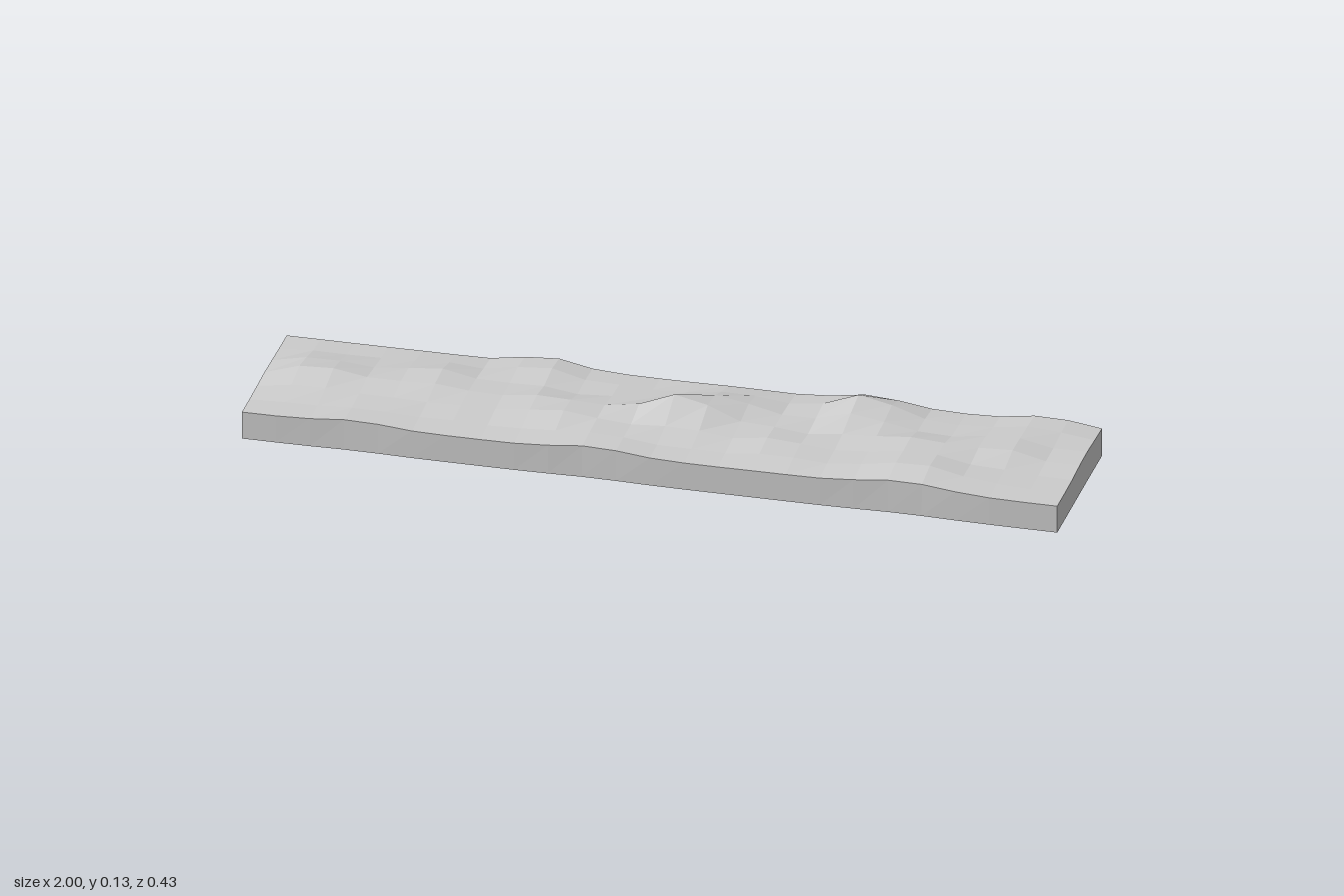
import * as THREE from 'three';

// Bumps on the stone surface: x, z, height, radius in x, radius in z
const BUMPS = [
  [-0.87, 0.0, 0.028, 0.09, 0.09], [-0.72, 0.2, 0.011, 0.1, 0.06],
  [-0.62, -0.04, 0.024, 0.09, 0.09], [-0.36, -0.16, 0.027, 0.09, 0.08],
  [-0.25, 0.05, 0.022, 0.09, 0.07], [-0.14, 0.19, 0.016, 0.11, 0.06],
  [0.0, 0.01, 0.047, 0.1, 0.06], [0.12, -0.08, 0.032, 0.09, 0.07],
  [0.44, -0.13, 0.042, 0.1, 0.08], [0.62, 0.16, 0.026, 0.13, 0.08],
  [0.6, 0.03, 0.016, 0.1, 0.06], [0.79, -0.02, 0.022, 0.08, 0.07],
  [0.87, -0.17, 0.02, 0.09, 0.07], [1.0, -0.04, 0.008, 0.06, 0.09],
  [0.3, 0.1, 0.012, 0.08, 0.07], [-0.45, 0.07, 0.008, 0.08, 0.07],
];

function bumpHeight(x, z) {
  let h = 0;
  for (const [bx, bz, height, rx, rz] of BUMPS) {
    h += height * Math.exp(-(((x - bx) / rx) ** 2) - ((z - bz) / rz) ** 2);
  }
  // Fine chipping, fading out toward the rim
  const inner = Math.max(0, 1 - Math.abs(z) / 0.21) * Math.max(0, 1 - Math.abs(x) ** 6);
  return h + 0.012 * inner * (0.8 + 0.6 * Math.sin(x * 23 + z * 31) * Math.cos(z * 37 - x * 9));
}

export function createModel() {
  const group = new THREE.Group();
  group.name = 'stoneSlab';

  // Gridded block whose top swells upward and leans toward the back
  const block = new THREE.BoxGeometry(2, 0.07, 0.423, 24, 1, 6);
  block.translate(0, 0.035, 0.0065);
  const pos = block.attributes.position;
  for (let i = 0; i < pos.count; i++) {
    const x = pos.getX(i), y = pos.getY(i), z = pos.getZ(i);
    const isTop = y > 0.03;
    const h = bumpHeight(x, z);
    pos.setY(i, isTop ? y + h : h * 0.1);
    pos.setZ(i, z - h * (isTop ? 0.4 : 0.2));
  }
  const geometry = block.toNonIndexed();
  geometry.computeVertexNormals();

  const slab = new THREE.Mesh(
    geometry,
    new THREE.MeshStandardMaterial({ color: 0xcccccc, flatShading: true })
  );
  slab.name = 'slab';
  group.add(slab);
  return group;
}
